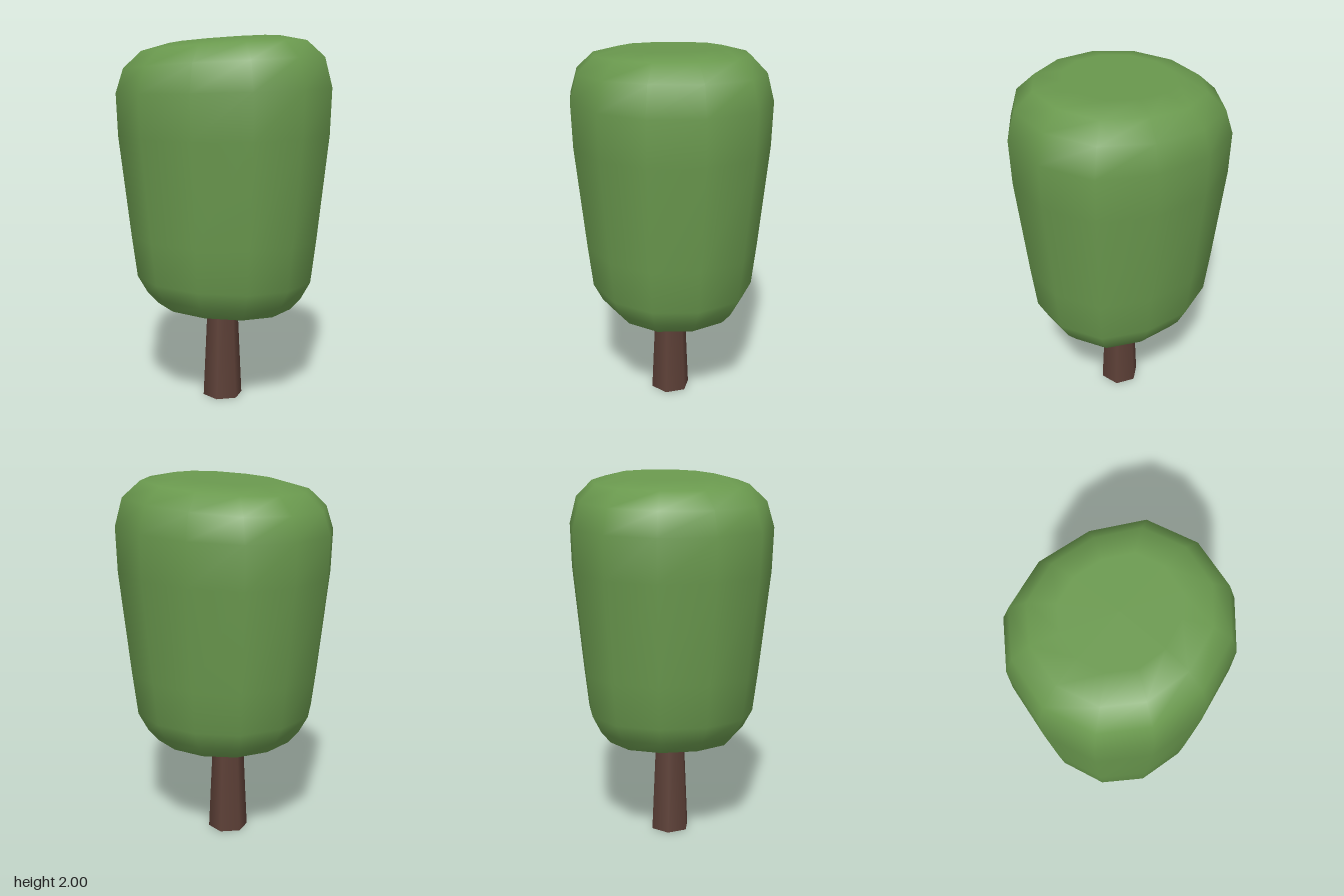
import * as THREE from 'three';

const leafGreen = new THREE.MeshStandardMaterial({ color: 0x6a994e, side: THREE.DoubleSide });
leafGreen.name = 'leafGreen';
const barkBrown = new THREE.MeshStandardMaterial({ color: 0x5d4037, side: THREE.DoubleSide });
barkBrown.name = 'barkBrown';

// Slightly irregular twelve-sided plan of the crown at its widest, as [x, z]
const plan = [
  [0.585, 0.025], [0.5, 0.31], [0.29, 0.51], [0.015, 0.565], [-0.28, 0.47], [-0.505, 0.265],
  [-0.588, 0], [-0.505, -0.28], [-0.29, -0.49], [-0.02, -0.57], [0.255, -0.475], [0.47, -0.255],
];

// Crown cross-sections from the open bottom to the flat top: [scale, y, tilt]
const rings = [
  [0.64, 0.54, -0.028], [0.74, 0.605, -0.025], [0.83, 0.7, -0.02], [0.88, 0.93, -0.012],
  [0.985, 1.48, 0.01], [1, 1.715, 0.023], [0.93, 1.855, 0.046], [0.765, 1.943, 0.052], [0.51, 1.978, 0.056],
];

function crownGeometry() {
  const n = plan.length, positions = [], index = [];
  for (const [scale, y, tilt] of rings) {
    for (const [x, z] of plan) positions.push(x * scale, y + tilt * scale * (x + z), z * scale);
  }
  for (let k = 0; k < rings.length - 1; k++) {
    for (let i = 0; i < n; i++) {
      const a = k * n + i, b = k * n + (i + 1) % n;
      index.push(a, a + n, b, b, a + n, b + n);
    }
  }
  // Flat, gently tilted top
  const [, topY, topTilt] = rings[rings.length - 1];
  const first = (rings.length - 1) * n, centre = rings.length * n;
  positions.push(0, topY, 0);
  for (let i = 0; i < n; i++) index.push(centre, first + (i + 1) % n, first + i);

  const geometry = new THREE.BufferGeometry();
  geometry.setAttribute('position', new THREE.Float32BufferAttribute(positions, 3));
  geometry.setIndex(index);
  geometry.computeVertexNormals();
  // Keep the top evenly shaded right up to its rim
  const up = new THREE.Vector3(-topTilt, 1, -topTilt).normalize();
  for (let i = first; i <= centre; i++) geometry.attributes.normal.setXYZ(i, up.x, up.y, up.z);
  return geometry;
}

export function createModel() {
  const tree = new THREE.Group();
  tree.name = 'tree';

  const crown = new THREE.Mesh(crownGeometry(), leafGreen);
  crown.name = 'crown';

  // Six-sided tapering trunk, open at both ends
  const height = 0.9;
  const trunk = new THREE.Mesh(
    new THREE.CylinderGeometry(0.068, 0.11, height, 6, 1, true, Math.PI / 2), barkBrown);
  trunk.name = 'trunk';
  trunk.position.set(-0.015, height / 2, 0.005);

  tree.add(crown, trunk);
  return tree;
}
